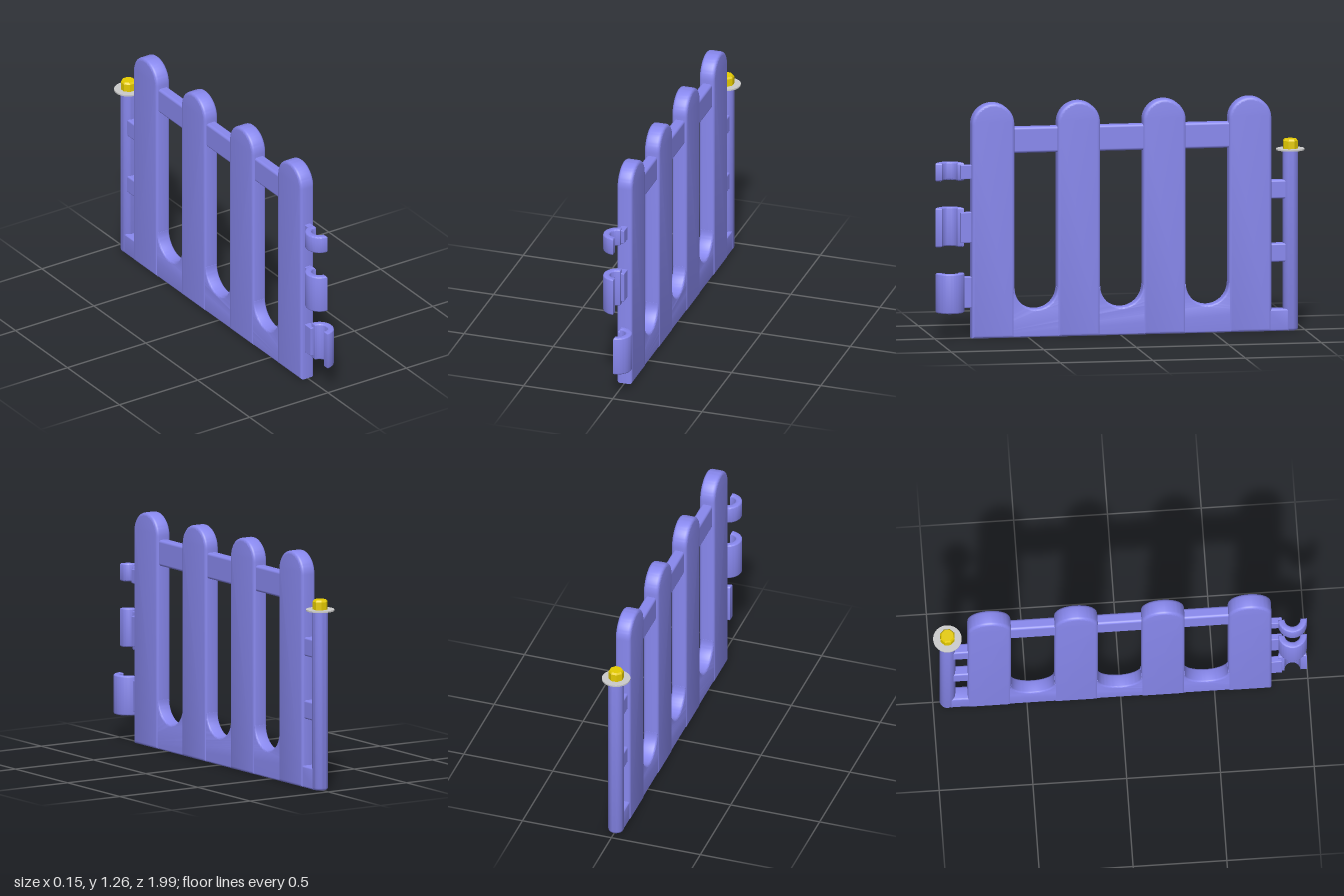
import * as THREE from 'three';
import { toCreasedNormals } from 'three/addons/utils/BufferGeometryUtils.js';
import { RoundedBoxGeometry } from 'three/addons/geometries/RoundedBoxGeometry.js';

const blue = new THREE.MeshStandardMaterial({ color: 0x8888ee });
const yellow = new THREE.MeshStandardMaterial({ color: 0xe6cc00 });
const grey = new THREE.MeshStandardMaterial({ color: 0xcccccc });

// Bevelled extrusion that keeps the outline size, centred on its depth
function slab(shape, depth, bevel) {
  const geo = new THREE.ExtrudeGeometry(shape, {
    depth: depth - 2 * bevel, bevelSize: bevel, bevelThickness: bevel,
    bevelOffset: -bevel, bevelSegments: 3, curveSegments: 20,
  });
  geo.translate(0, 0, bevel - depth / 2);
  return toCreasedNormals(geo, 0.6);
}

export function createModel() {
  const group = new THREE.Group();
  const add = (name, geo, x, y, z, mat = blue) => {
    const mesh = new THREE.Mesh(geo, mat);
    mesh.name = name;
    mesh.position.set(x, y, z);
    group.add(mesh);
    return mesh;
  };
  const box = (name, w, y0, y1, z0, z1, r) =>
    add(name, new RoundedBoxGeometry(w, y1 - y0, z1 - z0, 3, r), 0, (y0 + y1) / 2, (z0 + z1) / 2);

  // Round-topped pickets
  const half = 0.115, top = 1.262, pitch = 0.463;
  const outline = new THREE.Shape();
  outline.moveTo(-half, 0);
  outline.lineTo(half, 0);
  outline.lineTo(half, top - half);
  outline.absarc(0, top - half, half, 0, Math.PI, false);
  outline.closePath();
  const picketGeo = slab(outline, 0.086, 0.016).rotateY(-Math.PI / 2);
  const centres = [-1.5, -0.5, 0.5, 1.5].map(i => i * pitch - 0.005);
  centres.forEach(z => add('picket', picketGeo, 0, 0, z));

  // Base panel with a round scoop between each pair of pickets
  const base = new THREE.Shape();
  base.moveTo(-0.91, 0);
  base.lineTo(0.79, 0);
  base.lineTo(0.79, 0.265);
  for (let i = 2; i >= 0; i--) {
    const mid = (centres[i] + centres[i + 1]) / 2;
    base.lineTo(mid + 0.117, 0.265);
    base.absarc(mid, 0.265, 0.115, 0, Math.PI, true);
  }
  base.lineTo(-0.8, 0.265);
  base.lineTo(-0.8, 0.118);
  base.lineTo(-0.91, 0.118);
  base.closePath();
  add('basePanel', slab(base, 0.076, 0.01).rotateY(-Math.PI / 2), 0, 0, 0);

  // Top rail sections
  for (let i = 0; i < 3; i++) box('topRail', 0.06, 0.99, 1.13, centres[i], centres[i + 1], 0.014);

  // Hinge post with its struts
  const r = 0.042;
  const profile = [[0, 0], [r - 0.014, 0], [r - 0.004, 0.004], [r, 0.014], [r, 0.97], [0, 0.97]]
    .map(p => new THREE.Vector2(...p));
  add('hingePost', toCreasedNormals(new THREE.LatheGeometry(profile, 32), 0.9), 0, 0, -0.922);
  [[0.37, 0.47], [0.71, 0.81]].forEach(([a, b]) => box('postStrut', 0.056, a, b, -0.92, -0.78, 0.01));

  // Washer and bolt on the post
  const ring = new THREE.Shape().absarc(0, 0, 0.076, 0, Math.PI * 2, false);
  ring.holes.push(new THREE.Path().absarc(0, 0, 0.034, 0, Math.PI * 2, true));
  const washer = new THREE.ExtrudeGeometry(ring, { depth: 0.008, bevelEnabled: false, curveSegments: 32 });
  add('washer', washer.rotateX(Math.PI / 2), 0, 0.976, -0.922, grey);
  const boltProfile = [[0, 0.966], [0.041, 0.966], [0.041, 1.018], [0.034, 1.028], [0, 1.028]]
    .map(p => new THREE.Vector2(...p));
  add('bolt', toCreasedNormals(new THREE.LatheGeometry(boltProfile, 8, Math.PI / 8), 0.3), 0, 0, -0.922, yellow);

  // C-shaped clips, opening to alternate sides
  const clip = new THREE.Shape();
  clip.absarc(0, 0, 0.077, Math.PI / 2, Math.PI * 1.5, false);
  clip.absarc(0, 0, 0.042, Math.PI * 1.5, Math.PI / 2, true);
  clip.closePath();
  [[0.845, 0.942, 0], [0.49, 0.7, 0], [0.14, 0.354, Math.PI]].forEach(([a, b, turn]) => {
    const geo = slab(clip, b - a, 0.008).rotateX(Math.PI / 2).rotateY(turn);
    add('clip', geo, 0, (a + b) / 2, 0.918);
    const inset = (b - a) * 0.11;
    box('clipArm', 0.036, a + inset, b - inset, 0.77, 0.862, 0.004);
  });

  return group;
}
